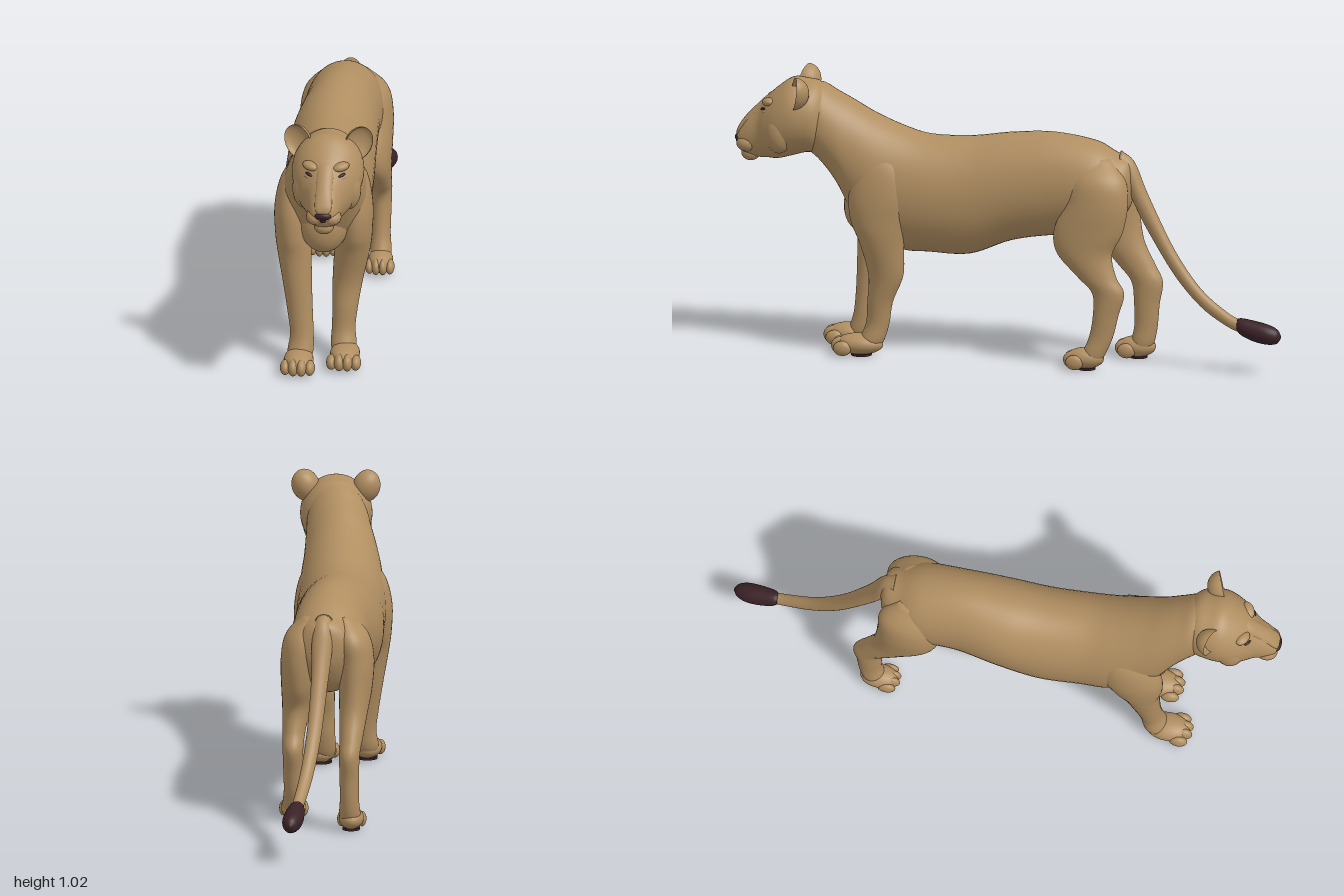
import * as THREE from 'three';

const fur = new THREE.MeshStandardMaterial({ name: 'tawny fur', color: 0xb08e61 });
const dark = new THREE.MeshStandardMaterial({ name: 'dark brown', color: 0x3a2227 });

// Smooth skin through elliptical sections [x, y, z, halfWidth, halfDepth], stacked along 'z' or 'y'
function loft(name, mat, axis, rows, sides = 36, steps = 6) {
  const k = axis === 'z' ? 2 : 1;
  const s = [...rows].sort((p, q) => p[k] - q[k]);
  const path = new THREE.CatmullRomCurve3(s.map(r => new THREE.Vector3(r[0], r[1], r[2])), false, 'catmullrom', 0.5);
  const size = new THREE.CatmullRomCurve3(s.map(r => new THREE.Vector3(r[3], r[4], 0)), false, 'catmullrom', 0.5);
  const n = (s.length - 1) * steps;
  const pos = [], idx = [];
  for (let i = -1; i <= n + 1; i++) {
    const t = Math.min(Math.max(i / n, 0), 1);
    const c = path.getPoint(t), r = size.getPoint(t);
    const f = i < 0 || i > n ? 0 : 1; // collapsed rings close the ends
    for (let j = 0; j < sides; j++) {
      const a = j / sides * Math.PI * 2;
      const u = Math.max(r.x, 0.001) * f * Math.cos(a), v = Math.max(r.y, 0.001) * f * Math.sin(a);
      if (axis === 'z') pos.push(c.x + u, c.y + v, c.z);
      else pos.push(c.x + u, c.y, c.z - v);
    }
  }
  for (let i = 0; i < n + 2; i++) for (let j = 0; j < sides; j++) {
    const a = i * sides + j, b = i * sides + (j + 1) % sides;
    idx.push(a, b, a + sides, b, b + sides, a + sides);
  }
  const g = new THREE.BufferGeometry();
  g.setAttribute('position', new THREE.Float32BufferAttribute(pos, 3));
  g.setIndex(idx);
  g.computeVertexNormals();
  const m = new THREE.Mesh(g, mat);
  m.name = name;
  return m;
}

function blob(name, mat, [x, y, z], [a, b, c], rot = [0, 0, 0]) {
  const m = new THREE.Mesh(new THREE.SphereGeometry(1, 24, 16), mat);
  m.name = name;
  m.position.set(x, y, z);
  m.scale.set(a, b, c);
  m.rotation.set(...rot);
  return m;
}

// Paw between heel and toe z positions, with four toes and a sole pad
function paw(name, x, heel, toe, w) {
  const g = new THREE.Group();
  g.name = name;
  const len = toe - heel;
  g.add(blob('foot', fur, [x, 0.042, heel + len * 0.46], [w * 0.86, 0.038, len * 0.47]));
  [-1.5, -0.5, 0.5, 1.5].forEach(i => {
    const inner = Math.abs(i) < 1;
    g.add(blob('toe', fur, [x + i * w * 0.47, inner ? 0.036 : 0.031, toe - (inner ? 0.033 : 0.046)],
      [w * 0.3, inner ? 0.031 : 0.027, 0.033]));
  });
  const pad = new THREE.Mesh(new THREE.CylinderGeometry(w * 0.6, w * 0.6, 0.008, 20), dark);
  pad.name = 'solePad';
  pad.position.set(x, 0.005, heel + len * 0.42);
  g.add(pad);
  return g;
}

function ear(side) {
  // Sphere whose front half is pressed in to make a cup
  const geo = new THREE.SphereGeometry(1, 32, 24);
  const p = geo.attributes.position;
  for (let i = 0; i < p.count; i++) if (p.getZ(i) > 0) p.setZ(i, -0.55 * p.getZ(i));
  geo.computeVertexNormals();
  const m = new THREE.Mesh(geo, fur);
  m.name = side > 0 ? 'leftEar' : 'rightEar';
  m.scale.set(0.05, 0.063, 0.055);
  m.position.set(0.03 + side * 0.11, 0.962, 0.765);
  m.rotation.set(-0.1, side * 0.35, -side * 0.4);
  return m;
}

export function createModel() {
  const model = new THREE.Group();
  model.name = 'lioness';

  // Torso running into the neck
  model.add(loft('torso', fur, 'z', [
    [0.01, 0.67, -0.45, 0.02, 0.04], [0.01, 0.66, -0.43, 0.075, 0.09],
    [0.005, 0.635, -0.38, 0.115, 0.137], [0, 0.64, -0.3, 0.138, 0.17],
    [-0.005, 0.645, -0.15, 0.14, 0.187], [-0.015, 0.626, 0, 0.153, 0.196],
    [-0.015, 0.588, 0.15, 0.158, 0.214], [-0.01, 0.589, 0.3, 0.158, 0.214],
    [-0.01, 0.605, 0.4, 0.158, 0.225], [-0.005, 0.652, 0.5, 0.15, 0.222],
    [0, 0.71, 0.57, 0.137, 0.205], [0.01, 0.785, 0.63, 0.122, 0.165],
    [0.02, 0.842, 0.69, 0.11, 0.142], [0.03, 0.86, 0.75, 0.09, 0.11]], 48));
  model.add(blob('breast', fur, [-0.005, 0.57, 0.53], [0.095, 0.13, 0.075], [-0.25, 0, 0]));

  // Head
  const head = new THREE.Group();
  head.name = 'head';
  const X = 0.03;
  head.add(loft('skull', fur, 'z', [
    [X, 0.86, 0.64, 0.05, 0.07], [X, 0.86, 0.69, 0.108, 0.125],
    [X, 0.862, 0.74, 0.126, 0.134], [X, 0.856, 0.79, 0.128, 0.142],
    [X, 0.833, 0.84, 0.115, 0.132], [X, 0.815, 0.88, 0.092, 0.113],
    [X, 0.797, 0.91, 0.07, 0.096], [X, 0.78, 0.95, 0.056, 0.074],
    [X, 0.772, 0.978, 0.042, 0.042], [X, 0.772, 0.99, 0.022, 0.02]], 48));
  head.add(loft('noseBridge', fur, 'z', [
    [X, 0.92, 0.83, 0.03, 0.03], [X, 0.9, 0.88, 0.034, 0.03], [X, 0.865, 0.92, 0.031, 0.028],
    [X, 0.825, 0.96, 0.031, 0.026], [X, 0.797, 0.985, 0.028, 0.018], [X, 0.788, 0.993, 0.015, 0.008]]));
  head.add(blob('nose', dark, [X, 0.772, 0.986], [0.03, 0.014, 0.014]));
  head.add(blob('noseTip', dark, [X, 0.76, 0.986], [0.013, 0.014, 0.011]));
  head.add(blob('chin', fur, [X, 0.715, 0.943], [0.036, 0.028, 0.034]));
  for (const s of [-1, 1]) {
    head.add(blob('whiskerPad', fur, [X + s * 0.028, 0.755, 0.95], [0.035, 0.03, 0.04]));
    head.add(blob('cheek', fur, [X + s * 0.078, 0.81, 0.825], [0.045, 0.075, 0.05]));
    head.add(blob('brow', fur, [X + s * 0.054, 0.915, 0.868], [0.032, 0.016, 0.022], [0, s * 0.5, s * 0.15]));
    head.add(blob('eye', dark, [X + s * 0.058, 0.89, 0.887], [0.016, 0.005, 0.007], [0, s * 0.6, s * 0.25]));
    head.add(blob('lowerLid', fur, [X + s * 0.058, 0.878, 0.884], [0.022, 0.01, 0.01], [0, s * 0.6, s * 0.25]));
    head.add(ear(s));
  }
  model.add(head);

  // Front legs
  model.add(loft('leftFrontLeg', fur, 'y', [
    [0.075, 0.77, 0.45, 0.02, 0.04], [0.093, 0.7, 0.455, 0.05, 0.09], [0.103, 0.6, 0.46, 0.06, 0.112],
    [0.1, 0.5, 0.465, 0.063, 0.1], [0.09, 0.42, 0.455, 0.064, 0.08], [0.073, 0.3, 0.443, 0.055, 0.063],
    [0.065, 0.2, 0.465, 0.046, 0.046], [0.06, 0.12, 0.475, 0.042, 0.042], [0.062, 0.06, 0.495, 0.046, 0.045],
    [0.064, 0.025, 0.505, 0.035, 0.035]]));
  model.add(loft('rightFrontLeg', fur, 'y', [
    [-0.085, 0.77, 0.46, 0.02, 0.04], [-0.11, 0.7, 0.465, 0.052, 0.09], [-0.122, 0.6, 0.48, 0.064, 0.112],
    [-0.12, 0.5, 0.5, 0.063, 0.095], [-0.112, 0.42, 0.515, 0.06, 0.068], [-0.1, 0.3, 0.528, 0.051, 0.054],
    [-0.09, 0.2, 0.54, 0.045, 0.044], [-0.083, 0.12, 0.55, 0.042, 0.041], [-0.087, 0.06, 0.565, 0.046, 0.044],
    [-0.089, 0.025, 0.575, 0.035, 0.035]]));
  model.add(paw('leftFrontPaw', 0.07, 0.455, 0.64, 0.062));
  model.add(paw('rightFrontPaw', -0.09, 0.53, 0.7, 0.062));

  // Hind legs
  model.add(loft('leftHindLeg', fur, 'y', [
    [0.06, 0.76, -0.32, 0.025, 0.05], [0.085, 0.69, -0.33, 0.065, 0.1], [0.1, 0.6, -0.328, 0.068, 0.115],
    [0.105, 0.5, -0.3, 0.063, 0.125], [0.112, 0.42, -0.288, 0.053, 0.1], [0.12, 0.34, -0.333, 0.042, 0.071],
    [0.122, 0.28, -0.376, 0.037, 0.058], [0.122, 0.2, -0.367, 0.035, 0.046], [0.122, 0.12, -0.35, 0.034, 0.043],
    [0.124, 0.06, -0.325, 0.038, 0.042], [0.125, 0.025, -0.315, 0.03, 0.032]]));
  model.add(loft('rightHindLeg', fur, 'y', [
    [-0.06, 0.76, -0.32, 0.025, 0.05], [-0.085, 0.69, -0.335, 0.062, 0.1], [-0.1, 0.6, -0.33, 0.066, 0.112],
    [-0.1, 0.5, -0.34, 0.06, 0.11], [-0.095, 0.42, -0.382, 0.051, 0.084], [-0.09, 0.34, -0.438, 0.042, 0.068],
    [-0.085, 0.28, -0.476, 0.037, 0.057], [-0.085, 0.2, -0.475, 0.035, 0.046], [-0.085, 0.12, -0.472, 0.034, 0.042],
    [-0.086, 0.06, -0.46, 0.038, 0.042], [-0.088, 0.025, -0.45, 0.03, 0.032]]));
  model.add(paw('leftHindPaw', 0.125, -0.36, -0.215, 0.052));
  model.add(paw('rightHindPaw', -0.09, -0.505, -0.36, 0.052));

  // Tail and dark tuft
  model.add(loft('tail', fur, 'z', [
    [0.01, 0.74, -0.4, 0.035, 0.04], [0.015, 0.665, -0.45, 0.037, 0.075], [0.02, 0.56, -0.5, 0.03, 0.065],
    [0.035, 0.385, -0.6, 0.026, 0.045], [0.055, 0.265, -0.7, 0.023, 0.032], [0.075, 0.195, -0.8, 0.021, 0.025],
    [0.085, 0.17, -0.86, 0.02, 0.022]], 24));
  model.add(loft('tailTuft', dark, 'z', [
    [0.081, 0.178, -0.838, 0.02, 0.022], [0.083, 0.172, -0.855, 0.029, 0.031], [0.088, 0.16, -0.9, 0.035, 0.037],
    [0.094, 0.151, -0.95, 0.035, 0.036], [0.098, 0.146, -0.985, 0.023, 0.026], [0.099, 0.145, -1, 0.004, 0.005]], 24));
  return model;
}
